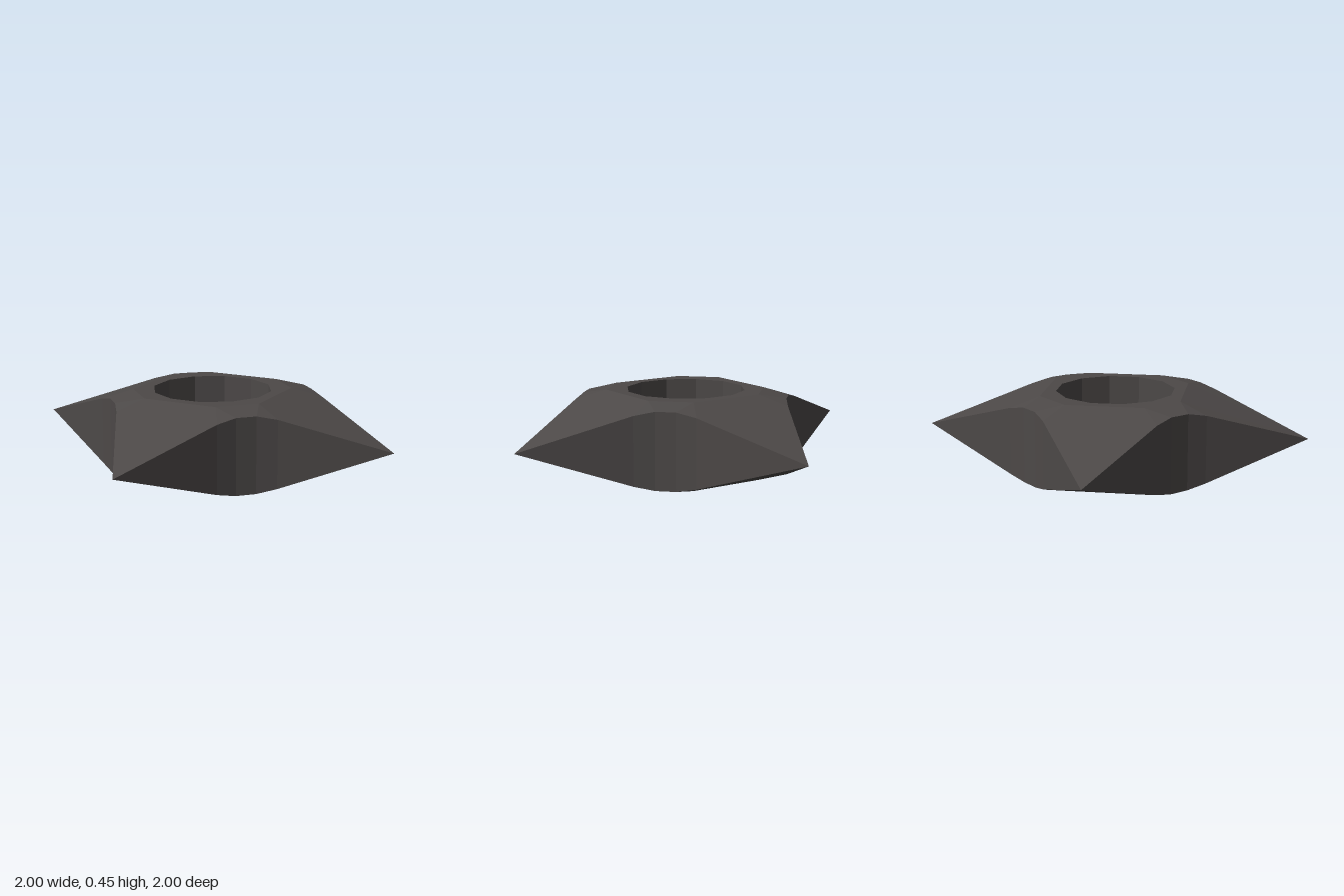
import * as THREE from 'three';

const H = 0.447; // full thickness, mirrored about H / 2

// Points of one quarter as [x, y, z]; the arm points along +x
const P = (x, z, y = H) => [x, y, z];
const tip = P(1, 0, H / 2);
const armEnd = P(0.5, 0.28, 0.399), armEnd2 = P(0.28, 0.5, 0.399);
const notch1 = P(0.414, 0.34, 0.42), notch2 = P(0.34, 0.414, 0.42);
const flat1 = P(0.36, 0.2), flat2 = P(0.2, 0.36);
const hole = [-15, 15, 45, 75].map((d) => {
  const a = THREE.MathUtils.degToRad(d), r = 0.3 / Math.cos(Math.PI / 12);
  return P(r * Math.cos(a), r * Math.sin(a));
});

const mirrorZ = ([x, y, z]) => [x, y, -z];
const flip = ([x, y, z]) => [x, H - y, z];
const turn = ([x, y, z], k) => {
  for (let i = 0; i < k; i++) [x, z] = [-z, x];
  return [x, y, z];
};

// Repeat the triangles of one quarter around the centre
function quarterMesh(name, tris, material) {
  const pos = [];
  for (let k = 0; k < 4; k++) {
    for (const t of tris) for (const p of t) pos.push(...turn(p, k));
  }
  const geo = new THREE.BufferGeometry();
  geo.setAttribute('position', new THREE.Float32BufferAttribute(pos, 3));
  geo.computeVertexNormals();
  const mesh = new THREE.Mesh(geo, material);
  mesh.name = name;
  return mesh;
}

// Vertical strip between the upper and lower edge of a path
function wall(path, inward) {
  const tris = [];
  for (let i = 0; i + 1 < path.length; i++) {
    const [p, q] = inward ? [path[i + 1], path[i]] : [path[i], path[i + 1]];
    tris.push([flip(p), p, q], [flip(p), q, flip(q)]);
  }
  return tris;
}

export function createModel() {
  const group = new THREE.Group();
  group.name = 'fourPointStar';
  const steel = new THREE.MeshStandardMaterial({ color: 0x4d4948 });
  steel.name = 'dark steel';

  // Sloping arm and the shallow facets between two arms
  const arm = [tip, armEnd, flat1, mirrorZ(flat1), mirrorZ(armEnd)];
  const faces = [
    [arm[0], arm[1], arm[2]], [arm[0], arm[2], arm[3]], [arm[0], arm[3], arm[4]],
    [flat1, armEnd, notch1], [flat1, notch1, notch2],
    [flat1, notch2, flat2], [flat2, notch2, armEnd2],
  ];

  // Flat land around the hole
  const land = [mirrorZ(flat1), flat1, flat2, hole[3], hole[2], hole[1], hole[0]];
  const outline = land.map(([x, , z]) => new THREE.Vector2(x, z));
  for (const t of THREE.ShapeUtils.triangulateShape(outline, [])) {
    const [a, b, c] = t.map((i) => outline[i]);
    const ccw = b.clone().sub(a).cross(c.clone().sub(a)) > 0;
    faces.push((ccw ? t : [t[0], t[2], t[1]]).map((i) => land[i]));
  }

  const up = faces.map(([a, b, c]) => [a, c, b]);
  const down = faces.map((t) => t.map(flip));
  group.add(quarterMesh('upperFace', up, steel));
  group.add(quarterMesh('lowerFace', down, steel));

  // Curved side walls from tip to tip, and the twelve-sided bore
  const side = [tip, armEnd, notch1, notch2, armEnd2, turn(tip, 1)];
  group.add(quarterMesh('sideWalls', wall(side, false), steel));
  group.add(quarterMesh('bore', wall(hole, true), steel));
  return group;
}
